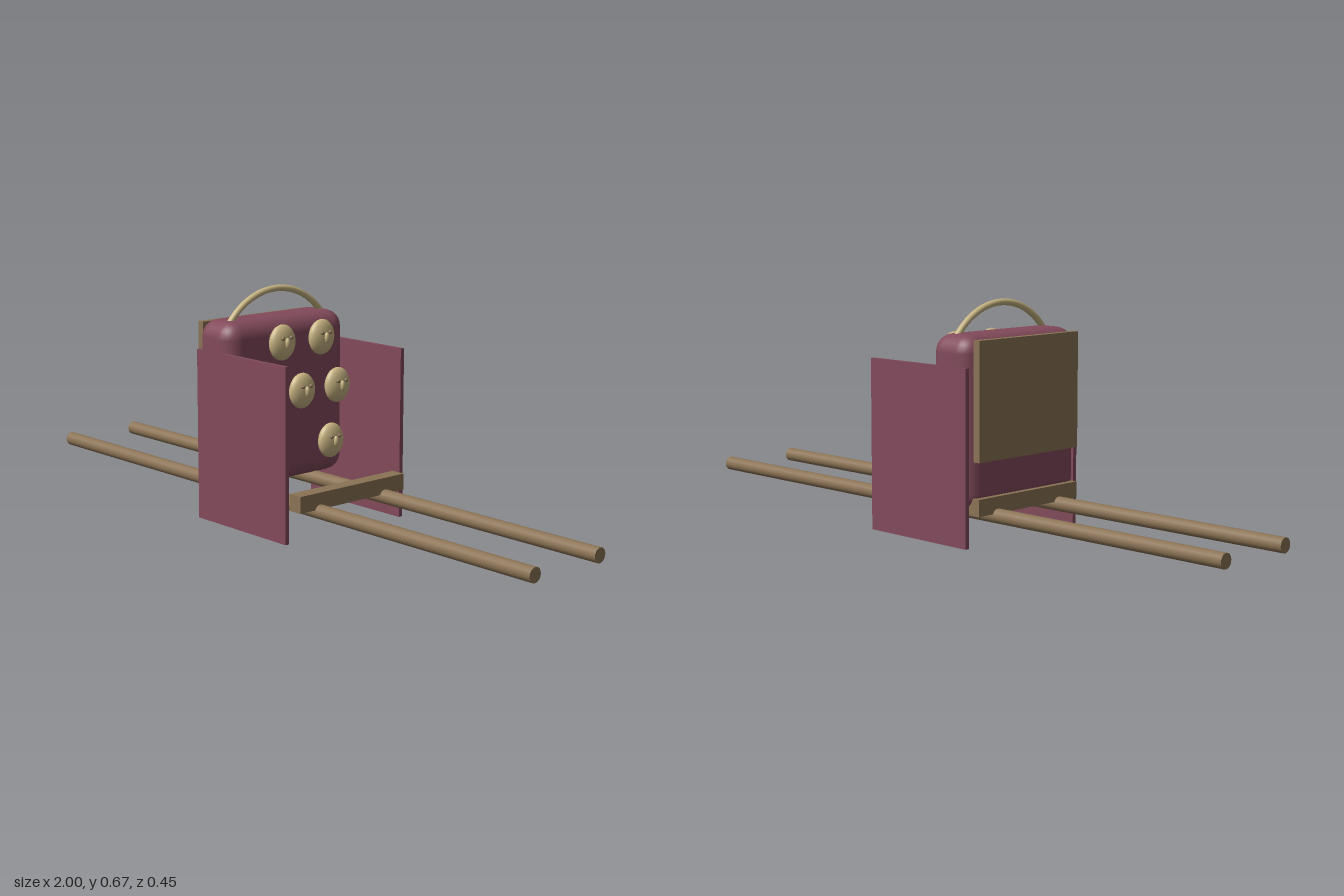
import * as THREE from 'three';
import { RoundedBoxGeometry } from 'three/addons/geometries/RoundedBoxGeometry.js';

const maroon = new THREE.MeshStandardMaterial({ color: 0x824a5b });
const wood = new THREE.MeshStandardMaterial({ color: 0x8b7355 });
const tan = new THREE.MeshStandardMaterial({ color: 0xc8b482 });

function add(parent, name, geometry, material, x, y, z) {
  const mesh = new THREE.Mesh(geometry, material);
  mesh.name = name;
  mesh.position.set(x, y, z);
  parent.add(mesh);
  return mesh;
}

// Rounded head with two eyes and a long nose, looking along +x
function makeHead() {
  const head = new THREE.Group();
  head.name = 'head';
  add(head, 'face', new THREE.SphereGeometry(1, 28, 18), tan, 0, 0, 0).scale.set(0.023, 0.052, 0.046);
  add(head, 'nose', new THREE.SphereGeometry(1, 14, 10), tan, 0.023, 0, 0).scale.set(0.008, 0.016, 0.008);
  for (const side of [-1, 1]) {
    add(head, 'eye', new THREE.SphereGeometry(0.006, 12, 8), wood, 0.021, 0.015, side * 0.0155);
  }
  return head;
}

// Circular arc for the carrying handle, ends sunk into the chest
class HandleArc extends THREE.Curve {
  getPoint(t, target = new THREE.Vector3()) {
    const a = (t * 2 - 1) * 0.95;
    return target.set(0, 0.442 + 0.222 * Math.cos(a), 0.222 * Math.sin(a));
  }
}

export function createModel() {
  const model = new THREE.Group();
  model.name = 'carriedChest';

  // Carrying poles and the side panels hung beside them
  for (const side of [-1, 1]) {
    const pole = add(model, 'pole', new THREE.CylinderGeometry(0.021, 0.021, 2, 20), wood, 0, 0.084, side * 0.125);
    pole.rotation.z = Math.PI / 2;
    add(model, 'sidePanel', new THREE.BoxGeometry(0.385, 0.5, 0.013), maroon, -0.003, 0.25, side * 0.22);
    add(model, 'crossbar', new THREE.BoxGeometry(0.045, 0.048, 0.4), wood, side * 0.198, 0.115, 0);
  }

  // Upright padded chest with a board on its back
  add(model, 'chest', new RoundedBoxGeometry(0.155, 0.488, 0.45, 3, 0.05), maroon, -0.127, 0.343, 0);
  add(model, 'backBoard', new THREE.BoxGeometry(0.022, 0.335, 0.4), wood, -0.211, 0.408, 0);
  add(model, 'handle', new THREE.TubeGeometry(new HandleArc(), 32, 0.0095, 12), tan, -0.11, 0, 0);

  // Rows of heads: height and sideways positions
  const rows = [
    [0.527, [-0.075, 0.075]],
    [0.378, [-0.138, 0, 0.138]],
    [0.215, [-0.113, 0.113]],
  ];
  for (const [y, places] of rows) {
    for (const z of places) {
      const head = makeHead();
      head.position.set(0.003, y, z);
      model.add(head);
    }
  }
  return model;
}
